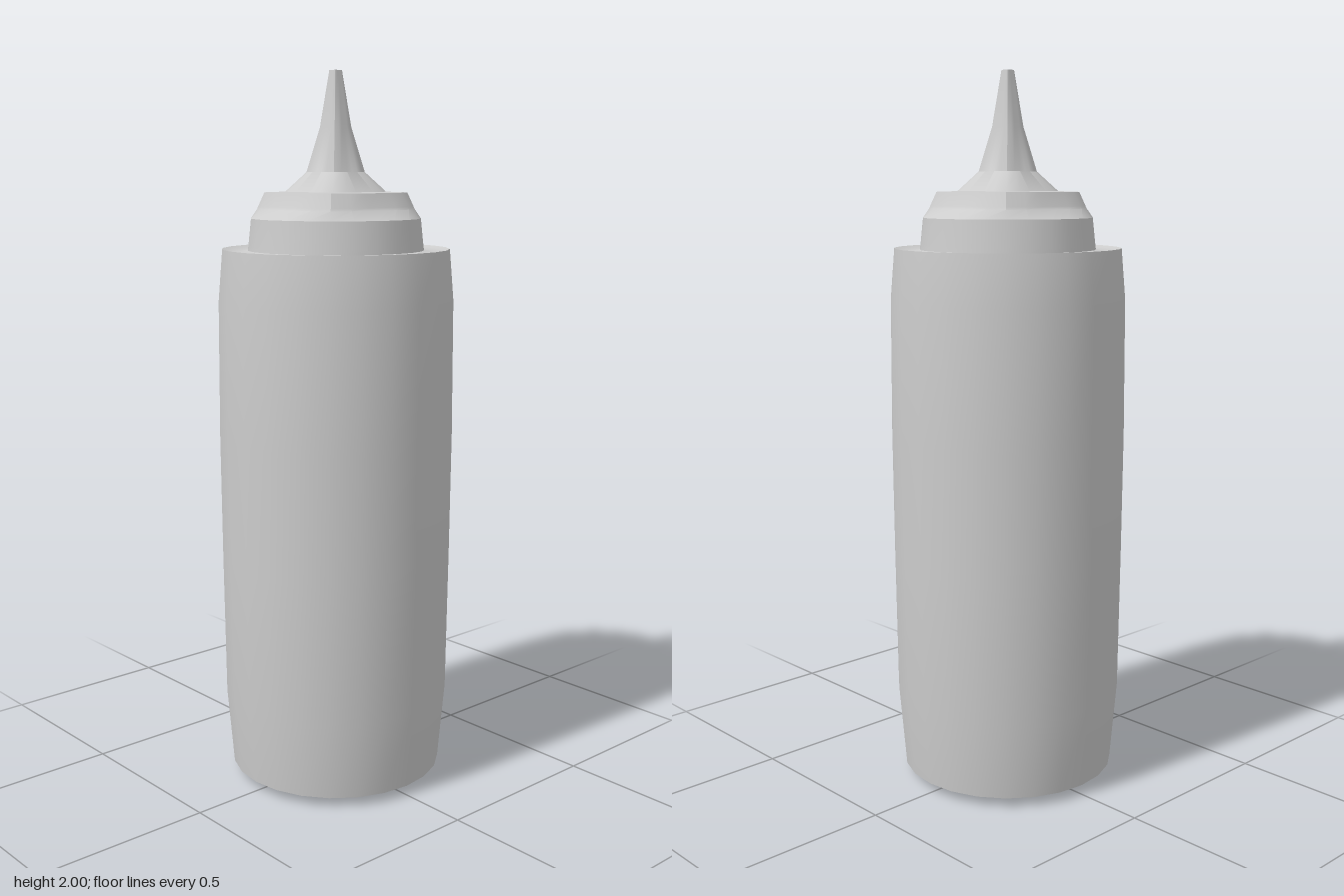
import * as THREE from 'three';
import { toCreasedNormals } from 'three/addons/utils/BufferGeometryUtils.js';

const SIDES = 24;

// Loft rings [radius, height, squareness exponent (2 = round)] from bottom to top
function loft(rings) {
  const pos = [], index = [];
  for (const [r, y, n = 2] of rings) {
    for (let i = 0; i < SIDES; i++) {
      const a = (i / SIDES) * Math.PI * 2;
      const c = Math.cos(a), s = Math.sin(a);
      const k = r / Math.pow(Math.abs(c) ** n + Math.abs(s) ** n, 1 / n);
      pos.push(k * s, y, k * c);
    }
  }
  for (let j = 0; j < rings.length - 1; j++) {
    for (let i = 0; i < SIDES; i++) {
      const a = j * SIDES + i, b = j * SIDES + (i + 1) % SIDES;
      const c = a + SIDES, d = b + SIDES;
      if (rings[j][0] > 0) index.push(a, b, d);
      if (rings[j + 1][0] > 0) index.push(a, d, c);
    }
  }
  const geo = new THREE.BufferGeometry();
  geo.setAttribute('position', new THREE.Float32BufferAttribute(pos, 3));
  geo.setIndex(index);
  return toCreasedNormals(geo, 0.5);
}

export function createModel() {
  const group = new THREE.Group();
  const plastic = new THREE.MeshStandardMaterial({ color: 0xcccccc });
  plastic.name = 'grey plastic';

  const add = (name, rings) => {
    const mesh = new THREE.Mesh(loft(rings), plastic);
    mesh.name = name;
    group.add(mesh);
  };

  // Bulging body with a bevelled base and a shallow groove round the shoulder
  add('bottleBody', [
    [0, 0], [0.22, 0.003], [0.27, 0.012], [0.303, 0.028],
    [0.322, 0.25], [0.327, 0.65], [0.33, 1.0], [0.328, 1.38],
    [0.316, 1.522], [0.302, 1.517], [0.275, 1.512], [0.245, 1.518],
  ]);

  // Round collar of the cap
  add('capCollar', [
    [0.245, 1.516], [0.243, 1.53], [0.235, 1.605],
  ]);

  // Shoulder easing from round to a rounded square
  add('capShoulder', [
    [0.235, 1.605, 2], [0.19, 1.63, 3.3], [0.185, 1.637, 3.5],
    [0.168, 1.675, 3.7], [0.118, 1.677, 3.8],
  ]);

  // Tapering square nozzle with a flat tip
  add('nozzle', [
    [0.118, 1.677, 3.8], [0.068, 1.73, 3.8], [0.036, 1.85, 4],
    [0.014, 2, 5], [0, 2],
  ]);

  return group;
}
